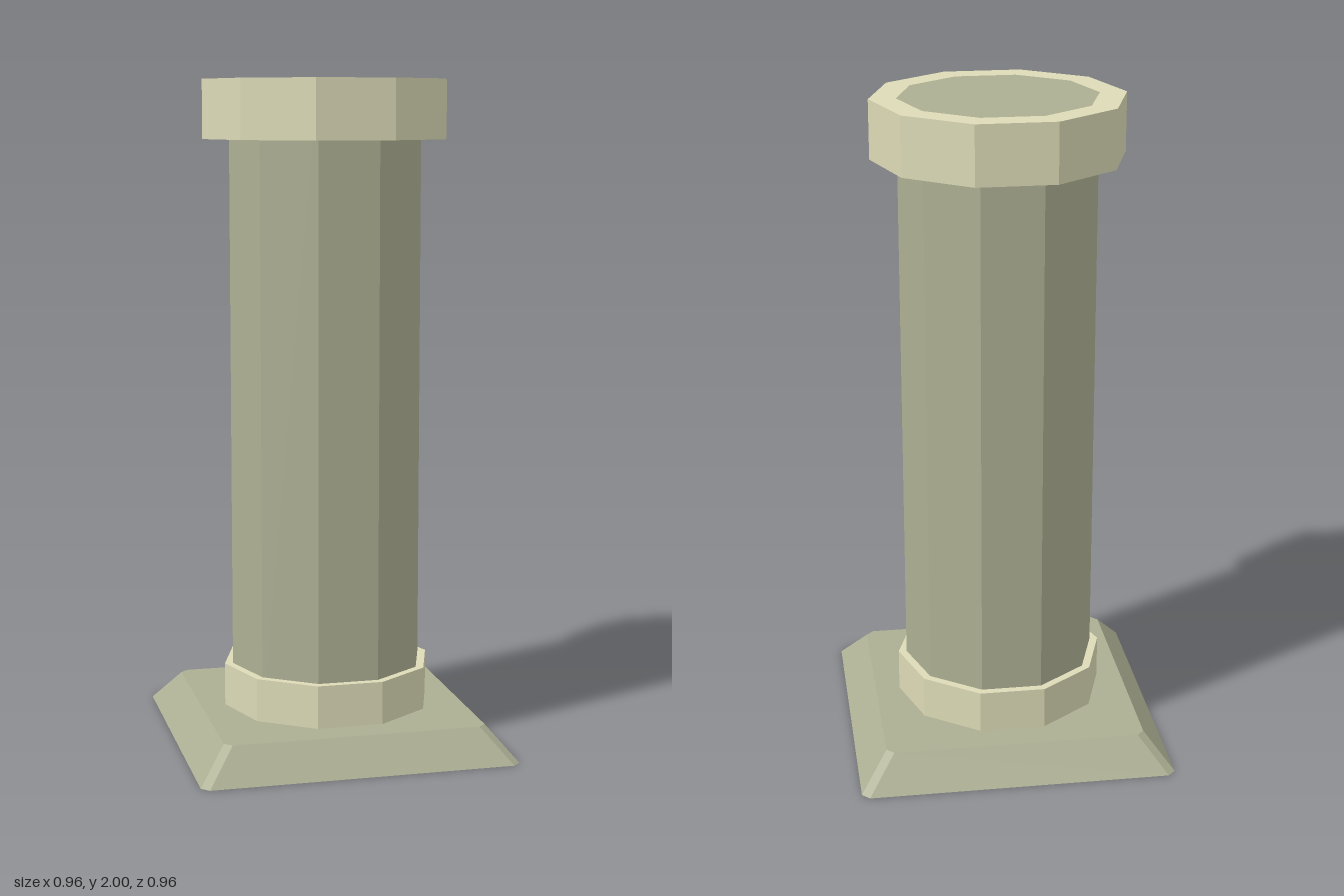
import * as THREE from 'three';
import { ConvexGeometry } from 'three/addons/geometries/ConvexGeometry.js';

const SIDES = 10;
const SHAFT_R = 0.295;

export function createModel() {
  const group = new THREE.Group();
  const lightStone = new THREE.MeshStandardMaterial({ color: 0xdcdab6, flatShading: true });
  const darkStone = new THREE.MeshStandardMaterial({ color: 0xadaf93, flatShading: true });

  const add = (name, geometry, material) => {
    const mesh = new THREE.Mesh(geometry, material);
    mesh.name = name;
    group.add(mesh);
    return mesh;
  };

  // ten-sided band around the shaft, with a corner on the x axis
  const band = (name, radius, y0, y1) => {
    const profile = [[SHAFT_R, y0], [radius, y0], [radius, y1], [SHAFT_R, y1]]
      .map(([r, y]) => new THREE.Vector2(r, y));
    add(name, new THREE.LatheGeometry(profile, SIDES, Math.PI / 2), lightStone);
  };

  // square plinth with sloping sides and clipped corners
  const corners = [];
  for (const [half, clipped, y] of [[0.478, 0.455, 0], [0.395, 0.373, 0.1]]) {
    for (const sx of [-1, 1]) {
      for (const sz of [-1, 1]) {
        corners.push(new THREE.Vector3(sx * half, y, sz * clipped));
        corners.push(new THREE.Vector3(sx * clipped, y, sz * half));
      }
    }
  }
  add('plinth', new ConvexGeometry(corners), darkStone);

  // shaft, running flush through the capital
  const shaft = new THREE.CylinderGeometry(SHAFT_R, SHAFT_R, 1.9, SIDES, 1, false, Math.PI / 2);
  add('shaft', shaft, darkStone).position.y = 1.05;

  band('baseCollar', 0.32, 0.1, 0.23);
  band('capital', 0.375, 1.825, 2);

  return group;
}
